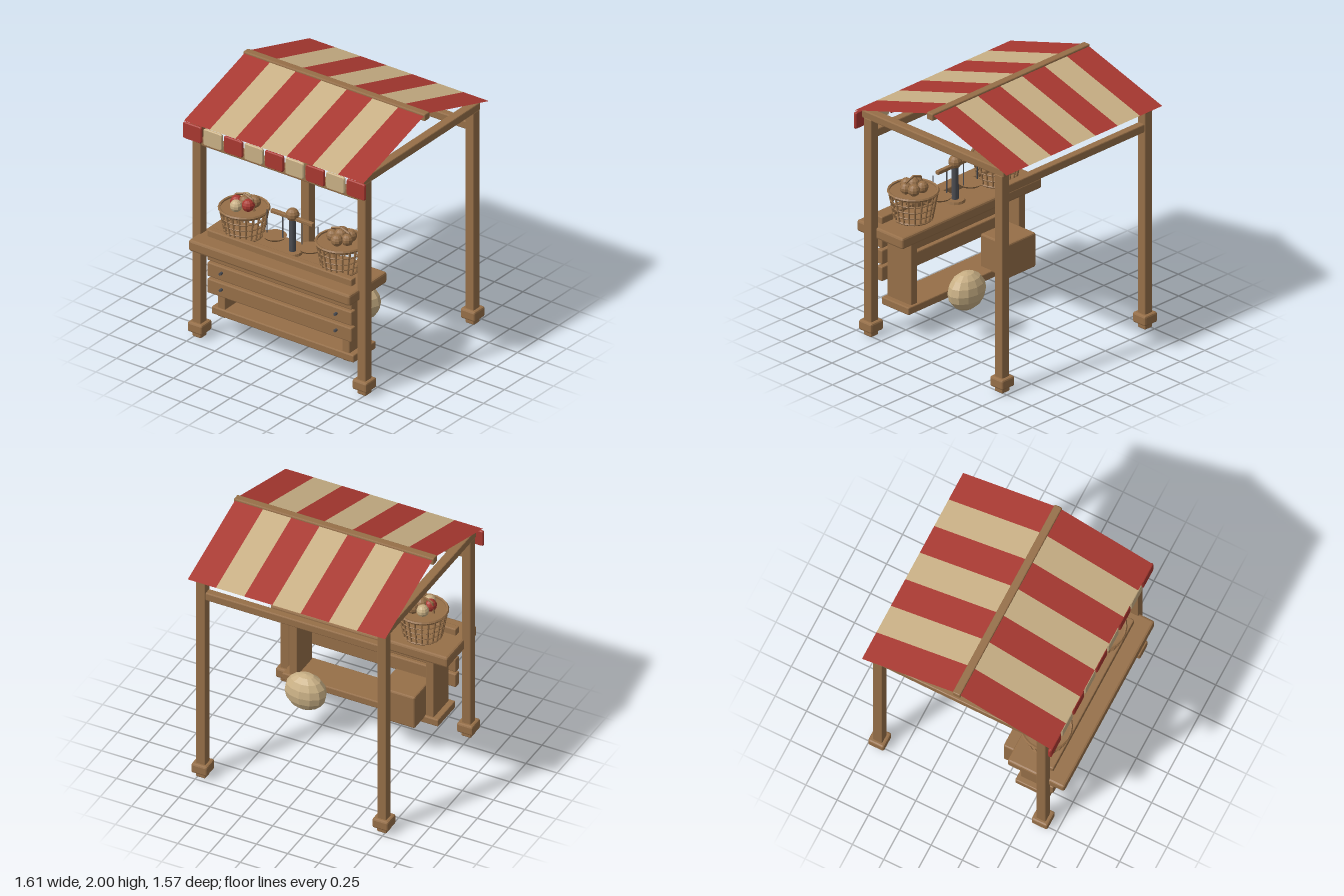
import * as THREE from 'three';
import { RoundedBoxGeometry } from 'three/addons/geometries/RoundedBoxGeometry.js';

export function createModel() {
  const model = new THREE.Group();
  model.name = 'marketStall';

  const material = (name, color, extra = {}) => {
    const m = new THREE.MeshStandardMaterial({ color, flatShading: true, ...extra });
    m.name = name;
    return m;
  };
  const wood = material('wood', 0x966f48);
  const red = material('redCloth', 0xa83830, { side: THREE.DoubleSide });
  const tan = material('tanCloth', 0xc9b085, { side: THREE.DoubleSide });
  const metal = material('darkMetal', 0x4c4d52);

  const add = (name, geometry, mat, x = 0, y = 0, z = 0, parent = model) => {
    const mesh = new THREE.Mesh(geometry, mat);
    mesh.name = name;
    mesh.position.set(x, y, z);
    parent.add(mesh);
    return mesh;
  };
  // Bevelled box given by its extents on each axis
  const block = (name, [x0, x1], [y0, y1], [z0, z1], mat = wood, bevel = 0.008) =>
    add(name, new RoundedBoxGeometry(x1 - x0, y1 - y0, z1 - z0, 1, bevel), mat,
      (x0 + x1) / 2, (y0 + y1) / 2, (z0 + z1) / 2);
  // Thin rod between two points
  const rod = (name, a, b, r, mat, parent = model, sides = 6) => {
    const dir = b.clone().sub(a);
    const mesh = add(name, new THREE.CylinderGeometry(r, r, dir.length(), sides), mat, 0, 0, 0, parent);
    mesh.position.copy(a).add(b).multiplyScalar(0.5);
    mesh.quaternion.setFromUnitVectors(new THREE.Vector3(0, 1, 0), dir.normalize());
    return mesh;
  };
  const V = (x, y, z) => new THREE.Vector3(x, y, z);

  // Corner posts with stepped feet
  const frontZ = 0.626, backZ = -0.679;
  for (const x of [-0.725, 0.725]) {
    for (const z of [frontZ, backZ]) {
      const around = (c, half) => [c - half, c + half];
      block('post', around(x, 0.0375), [0.06, 1.72], around(z, 0.0375));
      block('foot', around(x, 0.064), [0.04, 0.12], around(z, 0.064), wood, 0.014);
      block('footPad', around(x, 0.038), [0, 0.05], around(z, 0.038));
    }
    block('sideBeam', [x - 0.035, x + 0.035], [1.708, 1.77], [-0.725, 0.685]);
  }
  for (const z of [frontZ, backZ])
    block('crossBeam', [-0.7, 0.7], [1.56, 1.625], [z - 0.03, z + 0.03]);

  // Ridge beam and sloping rafters
  const ridgeZ = -0.03;
  block('ridgeBeam', [-0.8, 0.8], [1.945, 2], [ridgeZ - 0.03, ridgeZ + 0.03]);
  for (const x of [-0.52, 0, 0.52]) {
    for (const s of [1, -1]) {
      const run = 0.72, drop = 0.2;
      const rafter = add('rafter',
        new RoundedBoxGeometry(0.04, 0.03, Math.hypot(run, drop), 1, 0.006), wood,
        x, 1.847, ridgeZ + s * run / 2);
      rafter.rotation.x = s * Math.atan2(drop, run);
    }
  }

  // Striped canopy: seven flat cloth strips on each slope
  const stripe = 1.58 / 7;
  for (const [z0, z1] of [[0, 0.725], [-0.06, -0.787]]) {
    for (let i = 0; i < 7; i++) {
      const x0 = -0.79 + i * stripe, x1 = x0 + stripe;
      const corners = [V(x0, 1.985, z0), V(x0, 1.762, z1), V(x1, 1.762, z1), V(x1, 1.985, z0)];
      const geometry = new THREE.BufferGeometry().setFromPoints(corners);
      geometry.setIndex(z1 > 0 ? [0, 1, 2, 0, 2, 3] : [0, 2, 1, 0, 3, 2]);
      geometry.computeVertexNormals();
      add('canopyStripe', geometry, i % 2 ? tan : red);
    }
  }

  // Hanging front flaps with rounded corners
  const flapShape = new THREE.Shape();
  const fw = 0.0825, fh = 0.066, fr = 0.02;
  flapShape.moveTo(-fw + fr, -fh).lineTo(fw - fr, -fh).quadraticCurveTo(fw, -fh, fw, -fh + fr)
    .lineTo(fw, fh - fr).quadraticCurveTo(fw, fh, fw - fr, fh)
    .lineTo(-fw + fr, fh).quadraticCurveTo(-fw, fh, -fw, fh - fr)
    .lineTo(-fw, -fh + fr).quadraticCurveTo(-fw, -fh, -fw + fr, -fh);
  const flapGeometry = new THREE.ExtrudeGeometry(flapShape, {
    depth: 0.009, bevelSize: 0.006, bevelOffset: -0.006, bevelThickness: 0.008,
    bevelSegments: 1, curveSegments: 3,
  });
  for (let i = 0; i < 9; i++)
    add('canopyFlap', flapGeometry, i % 2 ? tan : red, (i - 4) * 0.18, 1.685, 0.711);

  // Counter: top, lip, front planks with bolts, legs and bottom shelf
  block('counterTop', [-0.71, 0.71], [0.76, 0.848], [0.33, 0.785], wood, 0.016);
  block('counterLip', [-0.635, 0.635], [0.83, 0.9], [0.605, 0.66]);
  for (const [y0, y1] of [[0.655, 0.765], [0.525, 0.637], [0.392, 0.505]]) {
    block('frontPlank', [-0.635, 0.635], [y0, y1], [0.605, 0.66]);
    for (const x of [-0.505, 0.505]) {
      const bolt = add('bolt', new THREE.CylinderGeometry(0.011, 0.011, 0.03, 8), metal,
        x, y0 + 0.065, 0.67);
      bolt.rotation.x = Math.PI / 2;
    }
  }
  for (const s of [-1, 1])
    block('counterLeg', [s * 0.5475 - 0.0325, s * 0.5475 + 0.0325], [0.195, 0.77], [0.37, 0.607]);
  block('bottomShelf', [-0.625, 0.625], [0.207, 0.266], [0.35, 0.62]);

  // Crate and sack behind the counter
  block('crate', [-0.515, -0.225], [0.25, 0.52], [0.2, 0.47], wood, 0.012);
  const sack = add('sack', new THREE.SphereGeometry(1, 12, 8), tan, 0.3, 0.385, 0.09);
  sack.scale.set(0.162, 0.147, 0.112);

  // Woven baskets filled with produce
  const ball = (name, r, mat, x, y, z, parent) =>
    add(name, new THREE.SphereGeometry(r, 10, 7), mat, x, y, z, parent);
  const basket = (x, fruits) => {
    const group = new THREE.Group();
    group.name = 'basket';
    group.position.set(x, 0.865, 0.5);
    model.add(group);
    const radius = y => 0.137 + y * 0.19;
    for (let i = 0; i < 22; i++) {
      const a = i / 22 * Math.PI * 2, c = Math.cos(a), s = Math.sin(a);
      rod('basketStake', V(c * 0.137, 0, s * 0.137), V(c * 0.177, 0.215, s * 0.177),
        0.007, wood, group, 5);
    }
    for (const [y, t] of [[0.006, 0.009], [0.055, 0.006], [0.105, 0.006], [0.155, 0.006], [0.215, 0.011]]) {
      const ring = add('basketRing', new THREE.TorusGeometry(radius(y), t, 5, 22), wood, 0, y, 0, group);
      ring.rotation.x = Math.PI / 2;
    }
    add('basketBase', new THREE.CylinderGeometry(0.137, 0.137, 0.012, 22), wood, 0, 0.006, 0, group);
    add('basketFill', new THREE.CylinderGeometry(0.172, 0.17, 0.02, 22), wood, 0, 0.2, 0, group);
    const arch = [[-0.09, 0.2], [-0.075, 0.298], [0, 0.325], [0.075, 0.298], [0.09, 0.2]];
    for (let i = 0; i < 4; i++)
      rod('basketHandle', V(...arch[i], 0), V(...arch[i + 1], 0), 0.009, wood, group, 5);
    for (const [mat, r, fx, fy, fz] of fruits) ball('fruit', r, mat, fx, fy, fz, group);
  };
  basket(-0.425, [
    [red, 0.048, -0.05, 0.255, 0.02], [tan, 0.046, -0.02, 0.25, 0.07],
    [red, 0.048, 0.05, 0.255, 0.02], [wood, 0.05, 0.01, 0.262, 0.0],
    [tan, 0.046, -0.03, 0.25, -0.06], [wood, 0.046, 0.05, 0.25, -0.06],
  ]);
  basket(0.425, [
    [wood, 0.045, -0.06, 0.25, 0.02], [wood, 0.045, 0.01, 0.25, 0.06],
    [wood, 0.045, 0.065, 0.25, 0.01], [wood, 0.05, 0, 0.265, 0],
    [wood, 0.045, -0.03, 0.25, -0.06], [wood, 0.045, 0.05, 0.25, -0.055],
  ]);

  // Balance scale in the middle of the counter
  const scaleZ = 0.5;
  add('scaleBase', new THREE.CylinderGeometry(0.07, 0.075, 0.02, 14), wood, 0, 0.857, scaleZ);
  add('scaleColumn', new THREE.CylinderGeometry(0.025, 0.027, 0.29, 10), metal, 0, 0.99, scaleZ);
  block('scaleArm', [-0.185, 0.185], [1.118, 1.146], [scaleZ - 0.015, scaleZ + 0.015], wood, 0.005);
  ball('scaleKnob', 0.05, wood, 0, 1.158, scaleZ, model);
  for (const s of [-1, 1]) {
    add('scalePan', new THREE.CylinderGeometry(0.087, 0.075, 0.016, 16), wood, s * 0.155, 0.933, scaleZ);
    for (const dx of [-0.07, 0.07])
      rod('panHanger', V(s * 0.155 + dx, 0.935, scaleZ), V(s * 0.155 + dx, 1.125, scaleZ), 0.004, metal);
  }

  return model;
}
